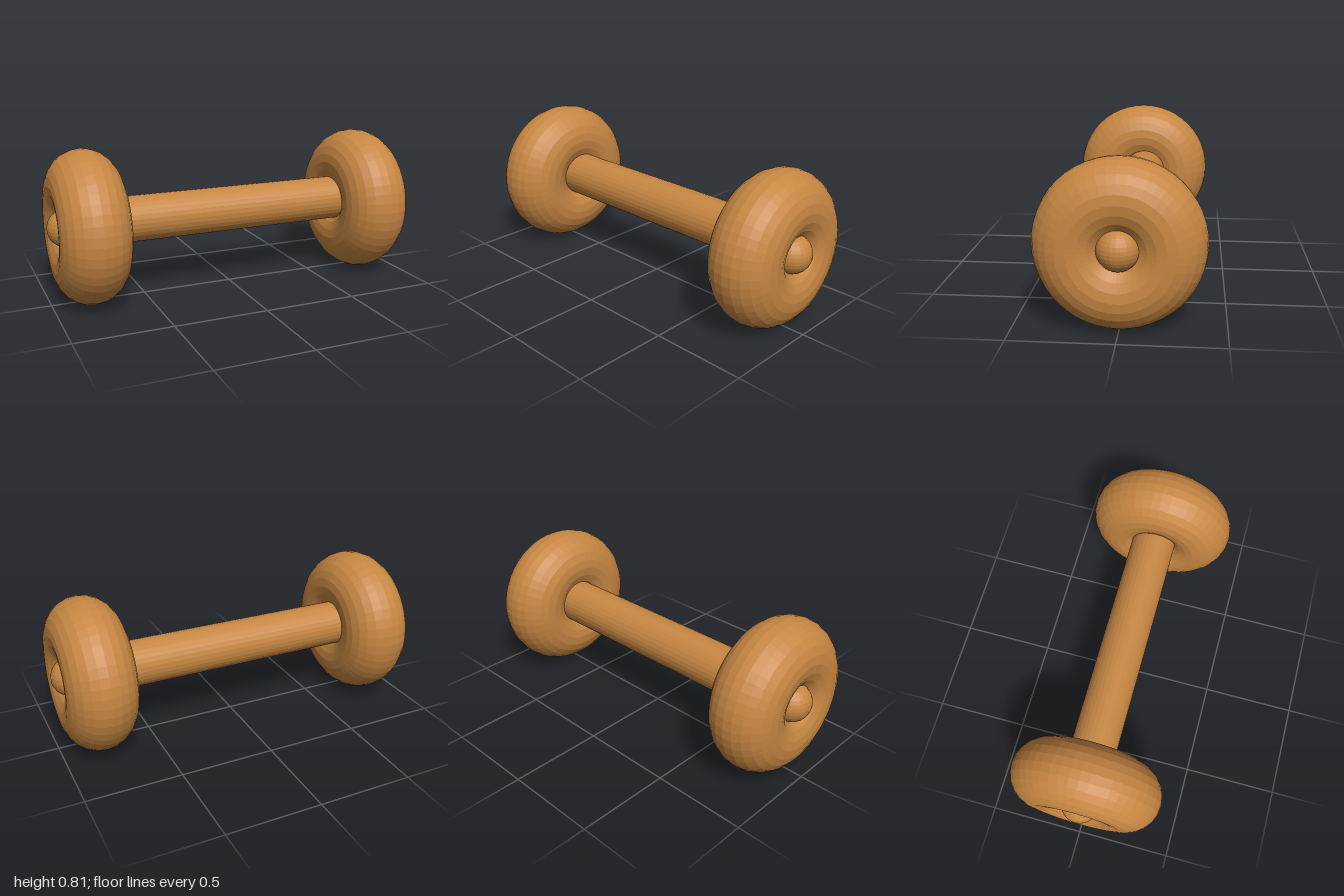
import * as THREE from 'three';

const AXIS_Y = 0.404;

export function createModel() {
  const group = new THREE.Group();
  const wood = new THREE.MeshStandardMaterial({ color: 0xc68642, flatShading: true });
  wood.name = 'warm wood';

  const add = (name, geometry, x, y, z) => {
    const mesh = new THREE.Mesh(geometry, wood);
    mesh.name = name;
    mesh.position.set(x, y, z);
    group.add(mesh);
  };

  // Handle bar, set very slightly off the ring axis
  const bar = new THREE.CylinderGeometry(0.123, 0.123, 1.6, 32).rotateZ(Math.PI / 2);
  add('handleBar', bar, 0, AXIS_Y + 0.012, -0.015);

  // Thick end rings, each with a ball plugging its hole
  const ring = new THREE.TorusGeometry(0.224, 0.18, 24, 48).rotateY(Math.PI / 2);
  const ball = new THREE.SphereGeometry(0.1, 24, 16);
  for (const [side, s] of [['left', 1], ['right', -1]]) {
    add(side + 'EndRing', ring, s * 0.8, AXIS_Y, 0);
    add(side + 'EndBall', ball, s * 0.9, AXIS_Y + 0.004, -0.002);
  }
  return group;
}
